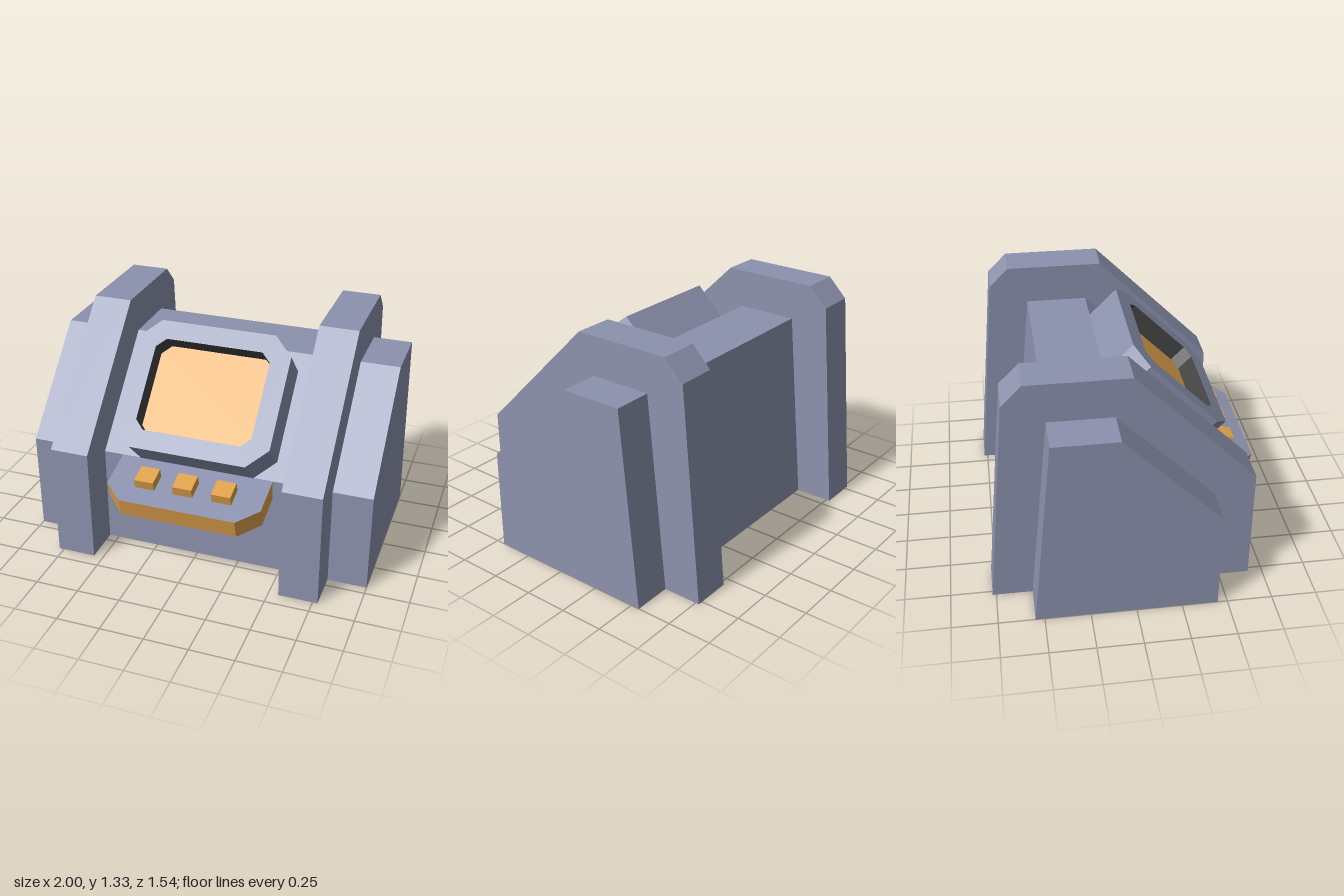
import * as THREE from 'three';

const mat = (name, color) => new THREE.MeshStandardMaterial({ name, color });

// Side profile given as [z, y] points, extruded along x and centred on x
function profileSlab(points, width) {
  const shape = new THREE.Shape(points.map(([z, y]) => new THREE.Vector2(-z, y)));
  return new THREE.ExtrudeGeometry(shape, { depth: width, bevelEnabled: false })
    .translate(0, 0, -width / 2)
    .rotateY(Math.PI / 2);
}

// Rectangle with cut corners, half sizes w and h
function cutRect(w, h, c) {
  return [
    [-w + c, -h], [w - c, -h], [w, -h + c], [w, h - c],
    [w - c, h], [-w + c, h], [-w, h - c], [-w, -h + c],
  ].map(([x, y]) => new THREE.Vector2(x, y));
}

export function createModel() {
  const model = new THREE.Group();
  model.name = 'console';
  const grey = mat('blueGrey', 0x8c92ae);
  const orange = mat('amber', 0xdea24a);
  const dark = mat('darkGrey', 0x444444);

  const add = (parent, name, geometry, material) => {
    const mesh = new THREE.Mesh(geometry, material);
    mesh.name = name;
    parent.add(mesh);
    return mesh;
  };

  // Main housing
  add(model, 'body', profileSlab(
    [[0.447, 0], [0.447, 0.578], [-0.087, 1.112], [-0.44, 1.112], [-0.55, 0]], 2), grey);

  // Two raised ribs around the housing
  const ribProfile = [[0.67, 0], [0.67, 0.667], [0.004, 1.333], [-0.55, 1.333], [-0.66, 1.222], [-0.771, 0]];
  for (const side of [-1, 1]) {
    const rib = add(model, side > 0 ? 'leftRib' : 'rightRib', profileSlab(ribProfile, 0.222), grey);
    rib.position.x = side * 0.667;
  }

  // Tilted monitor: local z points out of the screen
  const monitor = new THREE.Group();
  monitor.name = 'monitor';
  monitor.position.set(0, 1.001, 0.336);
  monitor.rotation.x = -Math.PI / 4;
  model.add(monitor);

  const opening = cutRect(0.333, 0.27, 0.053);
  const frameShape = new THREE.Shape(cutRect(0.444, 0.378, 0.111));
  frameShape.holes.push(new THREE.Path(opening));
  const frame = new THREE.ExtrudeGeometry(frameShape, { depth: 0.222, bevelEnabled: false })
    .translate(0, 0, -0.222);
  // The first eight side walls are the outside, the rest line the opening
  const sides = frame.groups[1];
  frame.clearGroups();
  frame.addGroup(0, sides.start + 48, 0);
  frame.addGroup(sides.start + 48, sides.count - 48, 1);
  add(monitor, 'screenFrame', frame, [grey, dark]);

  const screen = new THREE.ExtrudeGeometry(new THREE.Shape(opening), { depth: 0.008, bevelEnabled: false });
  add(monitor, 'screen', screen, orange).position.z = -0.119;

  // Control shelf: local origin on its top front edge, local y runs back up the slope
  const shelf = new THREE.Group();
  shelf.name = 'controlShelf';
  shelf.position.set(0, 0.49, 0.77);
  shelf.rotation.x = -THREE.MathUtils.degToRad(75);
  model.add(shelf);

  const shelfShape = new THREE.Shape([
    [-0.333, 0], [0.333, 0], [0.444, 0.111], [0.444, 0.4], [-0.444, 0.4], [-0.444, 0.111],
  ].map(([x, y]) => new THREE.Vector2(x, y)));
  const shelfPlate = new THREE.ExtrudeGeometry(shelfShape, { depth: 0.111, bevelEnabled: false })
    .translate(0, 0, -0.111);
  add(shelf, 'shelfPlate', shelfPlate, [grey, orange]);

  // Row of push buttons
  for (const i of [-1, 0, 1]) {
    const button = add(shelf, 'button', new THREE.BoxGeometry(0.111, 0.111, 0.075), orange);
    button.position.set(i * 0.222, 0.169, 0.0185);
  }

  return model;
}
